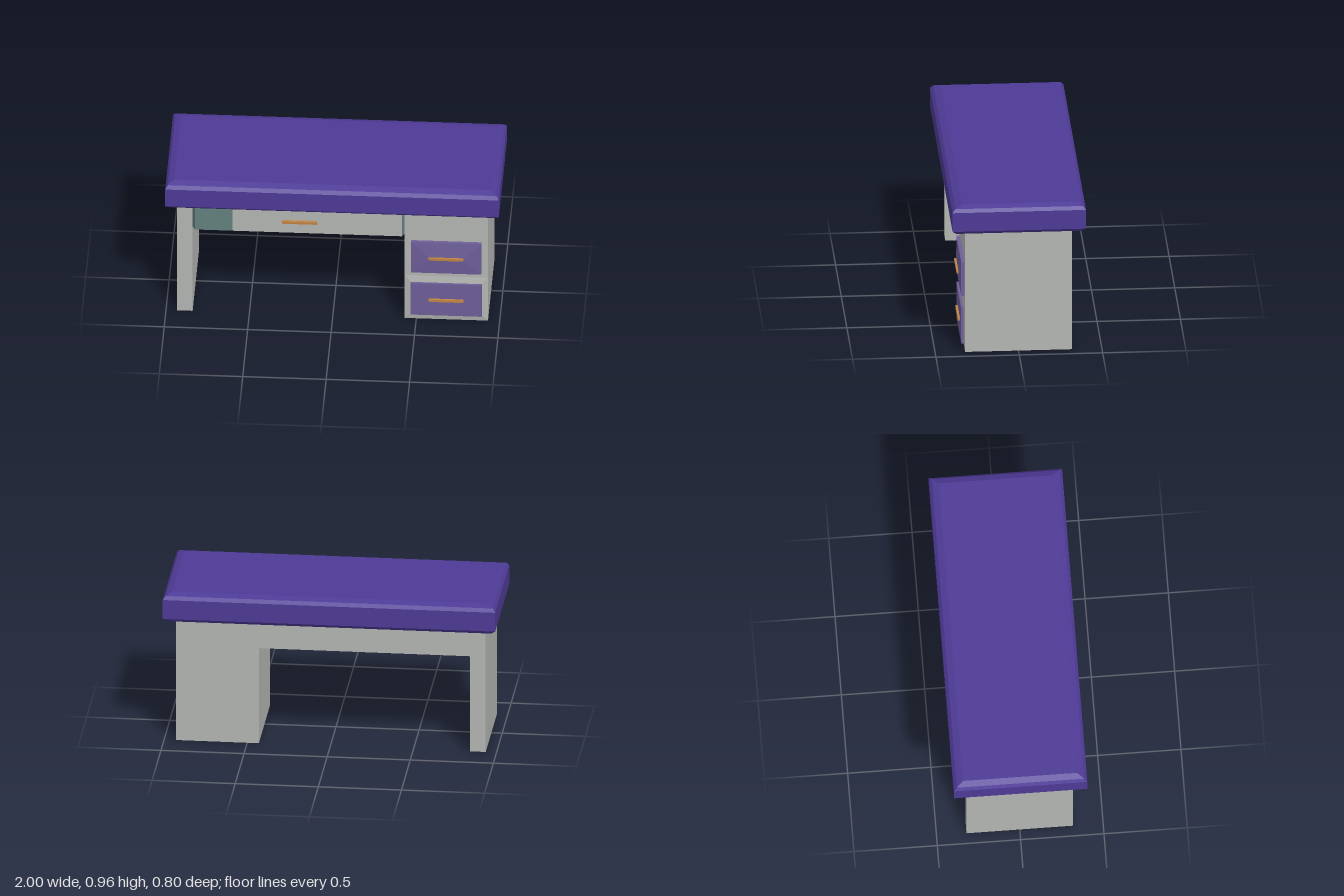
import * as THREE from 'three';

const mat = (name, color) => Object.assign(new THREE.MeshStandardMaterial({ color }), { name });

// Stack of rectangular rings [halfX, halfZ, y], closed at both ends, flat faces
function ringSolid(rings) {
  const pos = [];
  const corners = ([x, z, y]) => [[-x, y, z], [x, y, z], [x, y, -z], [-x, y, -z]];
  const quad = (a, b, c, d) => pos.push(...a, ...b, ...c, ...a, ...c, ...d);
  for (let r = 0; r < rings.length - 1; r++) {
    const lo = corners(rings[r]), hi = corners(rings[r + 1]);
    for (let i = 0; i < 4; i++) {
      const j = (i + 1) % 4;
      quad(lo[i], lo[j], hi[j], hi[i]);
    }
  }
  quad(...corners(rings[0]).reverse());
  quad(...corners(rings[rings.length - 1]));
  const g = new THREE.BufferGeometry();
  g.setAttribute('position', new THREE.Float32BufferAttribute(pos, 3));
  g.computeVertexNormals();
  return g;
}

export function createModel() {
  const desk = new THREE.Group();
  desk.name = 'desk';
  const grey = mat('grey body', 0xb4b6b4);
  const purple = mat('purple top', 0x4e3a96);
  const violet = mat('violet drawer', 0x6e5f9a);
  const teal = mat('teal trim', 0x64807e);
  const orange = mat('orange handle', 0xc08545);

  const add = (name, geometry, material) => {
    const mesh = new THREE.Mesh(geometry, material);
    mesh.name = name;
    desk.add(mesh);
    return mesh;
  };
  // Box given by its limits on each axis
  const box = (name, material, [x0, x1], [y0, y1], [z0, z1]) => {
    const mesh = add(name, new THREE.BoxGeometry(x1 - x0, y1 - y0, z1 - z0), material);
    mesh.position.set((x0 + x1) / 2, (y0 + y1) / 2, (z0 + z1) / 2);
    return mesh;
  };
  // Rings standing out towards the front: [halfWidth, halfHeight, z]
  const frontPanel = (name, material, x, y, rings) => {
    const mesh = add(name, ringSolid(rings).rotateX(Math.PI / 2), material);
    mesh.position.set(x, y, 0);
    return mesh;
  };

  // Thick top with bevelled edges
  add('deskTop', ringSolid([
    [0.955, 0.345, 0.775], [0.975, 0.375, 0.782], [1, 0.4, 0.805],
    [1, 0.4, 0.926], [0.985, 0.382, 0.946], [0.95, 0.342, 0.961],
  ]), purple);

  // Body
  box('leftLeg', grey, [-0.935, -0.84], [0, 0.777], [-0.32, 0.32]);
  box('drawerCabinet', grey, [0.43, 0.93], [0, 0.777], [-0.32, 0.32]);
  box('drawerHousing', grey, [-0.84, 0.43], [0.61, 0.777], [-0.32, 0.32]);

  // Wide middle drawer: teal edges, grey face and a teal patch at its left end
  frontPanel('middleDrawerEdge', teal, -0.205, 0.6935, [
    [0.635, 0.0835, 0.32], [0.62, 0.0835, 0.348],
  ]);
  box('middleDrawerFace', grey, [-0.6, 0.415], [0.61, 0.777], [0.347, 0.35]);
  box('middleDrawerPatch', teal, [-0.825, -0.6], [0.61, 0.777], [0.347, 0.35]);

  // Raised frame around the lower drawer
  frontPanel('lowerDrawerFrame', grey, 0.68, 0.155, [
    [0.25, 0.155, 0.32], [0.213, 0.115, 0.327],
  ]);

  // Cabinet drawers; the upper one rises to a shallow hip
  frontPanel('upperDrawer', violet, 0.68, 0.455, [
    [0.21, 0.11, 0.32], [0.21, 0.11, 0.341], [0.105, 0.009, 0.35],
  ]);
  box('lowerDrawer', violet, [0.467, 0.893], [0.04, 0.267], [0.325, 0.341]);

  // Bar handles
  for (const [name, x, y, z] of [
    ['middleDrawerHandle', -0.198, 0.692, 0.35],
    ['upperDrawerHandle', 0.68, 0.457, 0.345],
    ['lowerDrawerHandle', 0.68, 0.153, 0.338],
  ]) {
    box(name, orange, [x - 0.105, x + 0.105], [y - 0.008, y + 0.008], [z, z + 0.017]);
  }

  return desk;
}
